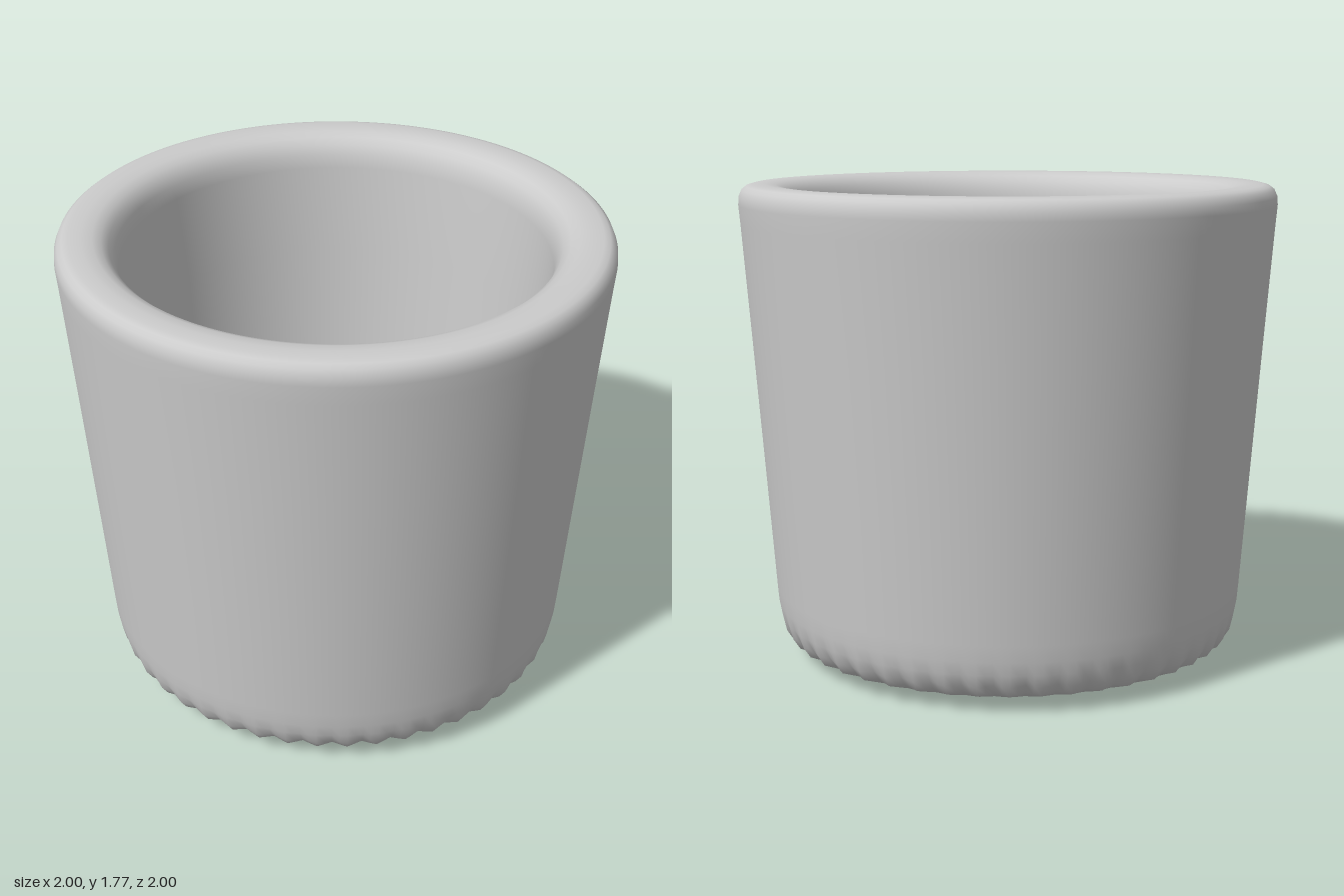
import * as THREE from 'three';
import { mergeVertices } from 'three/addons/utils/BufferGeometryUtils.js';

const FLUTES = 48;
const SEGMENTS = FLUTES * 4;

// Closed cup section [radius, height]: underside, outer wall, rim, inner wall, floor.
const profile = [
  [0, 0], [0.3, 0.006], [0.55, 0.018], [0.72, 0.034], [0.8, 0.048], [0.835, 0.068],
  [0.862, 0.105], [0.878, 0.15], [0.887, 0.2], [0.892, 0.26], [0.92, 0.65], [0.96, 1.2],
  [0.992, 1.63], [0.998, 1.7], [0.996, 1.73], [0.985, 1.755], [0.968, 1.768], [0.945, 1.774],
  [0.9, 1.775], [0.86, 1.771], [0.83, 1.758], [0.805, 1.735], [0.788, 1.7], [0.778, 1.65],
  [0.755, 1.3], [0.722, 0.8], [0.694, 0.42], [0.686, 0.36], [0.672, 0.31], [0.648, 0.272],
  [0.61, 0.25], [0.53, 0.232], [0.3, 0.212], [0, 0.205],
].map(([r, y]) => new THREE.Vector2(r, y));

// Fine flutes pressed into the outer and inner bottom corners.
function fluteCorners(geometry) {
  const pos = geometry.attributes.position;
  for (let i = 0; i < pos.count; i++) {
    const x = pos.getX(i), y = pos.getY(i), z = pos.getZ(i);
    const r = Math.hypot(x, z);
    if (r < 0.1 || y > 0.45) continue;
    const outer = Math.exp(-(((r - 0.845) / 0.04) ** 2 + ((y - 0.08) / 0.06) ** 2));
    const inner = Math.exp(-(((r - 0.645) / 0.05) ** 2 + ((y - 0.275) / 0.05) ** 2));
    const wave = Math.cos(Math.atan2(x, z) * FLUTES);
    const push = 0.008 * wave * (outer - inner);
    const scale = (r + push) / r;
    pos.setXYZ(i, x * scale, y - push * 0.8, z * scale);
  }
}

export function createModel() {
  const group = new THREE.Group();
  group.name = 'cup';

  let geometry = new THREE.LatheGeometry(profile, SEGMENTS);
  fluteCorners(geometry);
  // Weld the seam so the shading is smooth all round.
  geometry.deleteAttribute('uv');
  geometry.deleteAttribute('normal');
  geometry = mergeVertices(geometry, 1e-5);
  geometry.computeVertexNormals();

  const body = new THREE.Mesh(geometry, new THREE.MeshStandardMaterial({ color: 0xcccccc }));
  body.name = 'cupBody';
  group.add(body);
  return group;
}
